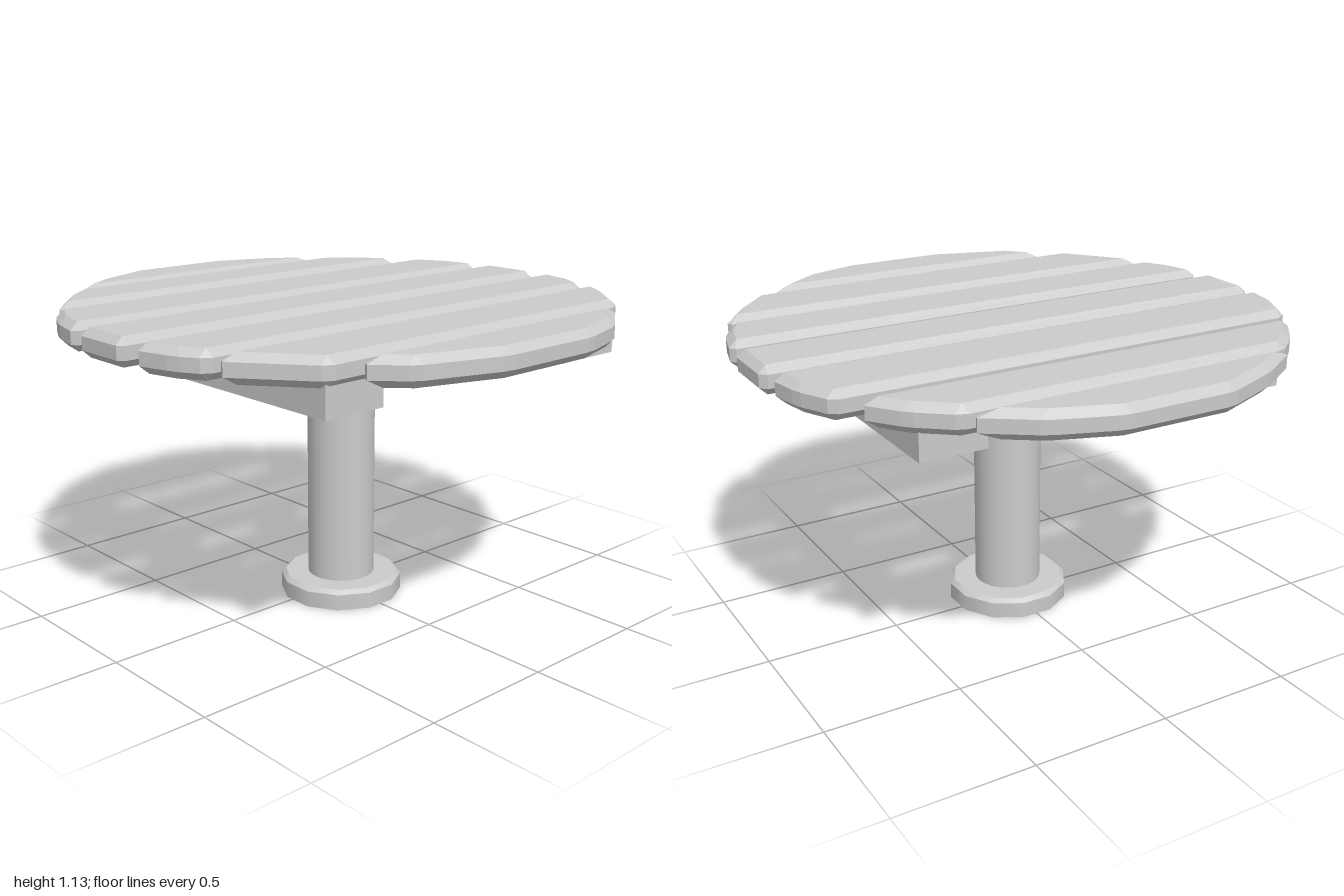
import * as THREE from 'three';
import { ConvexGeometry } from 'three/addons/geometries/ConvexGeometry.js';

const grey = new THREE.MeshStandardMaterial({ color: 0xcccccc, flatShading: true });
const thin = new THREE.MeshStandardMaterial({ color: 0xcccccc, side: THREE.DoubleSide });

// Plank outlines as [x, z] corners, back to front
const planks = [
  [[-0.605, -0.79], [-0.42, -0.91], [-0.2, -1], [0.2, -1], [0.42, -0.92], [0.605, -0.79]],
  [[-0.835, -0.525], [-0.72, -0.67], [-0.61, -0.76], [0.61, -0.76], [0.74, -0.655], [0.835, -0.525]],
  [[-0.985, -0.18], [-0.95, -0.33], [-0.885, -0.455], [0.885, -0.455], [0.95, -0.32], [0.975, -0.18]],
  [[-0.995, 0.115], [-0.995, -0.13], [0.99, -0.13], [0.99, 0.115]],
  [[-0.895, 0.425], [-0.95, 0.33], [-0.99, 0.18], [0.985, 0.18], [0.95, 0.33], [0.895, 0.425]],
  [[-0.69, 0.735], [-0.9, 0.47], [0.9, 0.47], [0.82, 0.59], [0.69, 0.735]],
  [[-0.2, 0.995], [-0.5, 0.9], [-0.615, 0.78], [0.615, 0.78], [0.4, 0.935], [0.2, 0.995]],
];

// Convex slab with clipped corners and chamfered upper and lower edges
function plankGeometry(outline) {
  const inset = 0.028, clip = 0.022, points = [];
  const corners = outline.map(([x, z]) => new THREE.Vector2(x, z));
  const n = corners.length;
  corners.forEach((c, i) => {
    const a = corners[(i + n - 1) % n].clone().sub(c).normalize();
    const b = corners[(i + 1) % n].clone().sub(c).normalize();
    // moving along both edges by inset / sin(angle) offsets both edges equally
    const inner = a.clone().add(b).multiplyScalar(inset / Math.abs(a.cross(b))).add(c);
    for (const y of [1.03, 1.13]) points.push(new THREE.Vector3(inner.x, y, inner.y));
    for (const d of [a, b]) {
      const p = c.clone().addScaledVector(d, clip);
      for (const y of [1.057, 1.104]) points.push(new THREE.Vector3(p.x, y, p.y));
    }
  });
  return new ConvexGeometry(points);
}

export function createModel() {
  const model = new THREE.Group();
  model.name = 'roundSlatTable';
  const add = (parent, name, geometry, material, x = 0, y = 0, z = 0) => {
    const mesh = new THREE.Mesh(geometry, material);
    mesh.name = name;
    mesh.position.set(x, y, z);
    parent.add(mesh);
    return mesh;
  };

  // Table top
  const top = new THREE.Group();
  top.name = 'tableTop';
  planks.forEach((outline, i) => add(top, `plank${i + 1}`, plankGeometry(outline), grey));
  model.add(top);

  // Support beams under the planks
  add(model, 'rightBeam', new THREE.BoxGeometry(0.235, 0.135, 1.37), grey, -0.57, 1.0025, 0.03);
  add(model, 'leftBeam', new THREE.BoxGeometry(0.235, 0.135, 1.37), grey, 0.585, 1.0025, 0.03);

  // Hollow pillar
  add(model, 'pillar', new THREE.CylinderGeometry(0.125, 0.125, 0.965, 24, 1, true), thin, 0, 0.5575, 0.03);

  // Hollow base: wall, chamfer and a flat ring around the pillar
  const base = new THREE.Group();
  base.name = 'base';
  base.position.z = 0.03;
  const turn = Math.PI / 12;
  add(base, 'baseWall', new THREE.CylinderGeometry(0.228, 0.228, 0.06, 12, 1, true, turn), thin, 0, 0.03);
  add(base, 'baseChamfer', new THREE.CylinderGeometry(0.212, 0.228, 0.015, 12, 1, true, turn), thin, 0, 0.0675);
  const ring = new THREE.RingGeometry(0.122, 0.212, 12, 1, turn).rotateX(-Math.PI / 2);
  add(base, 'baseRing', ring, thin, 0, 0.075);
  model.add(base);

  return model;
}
